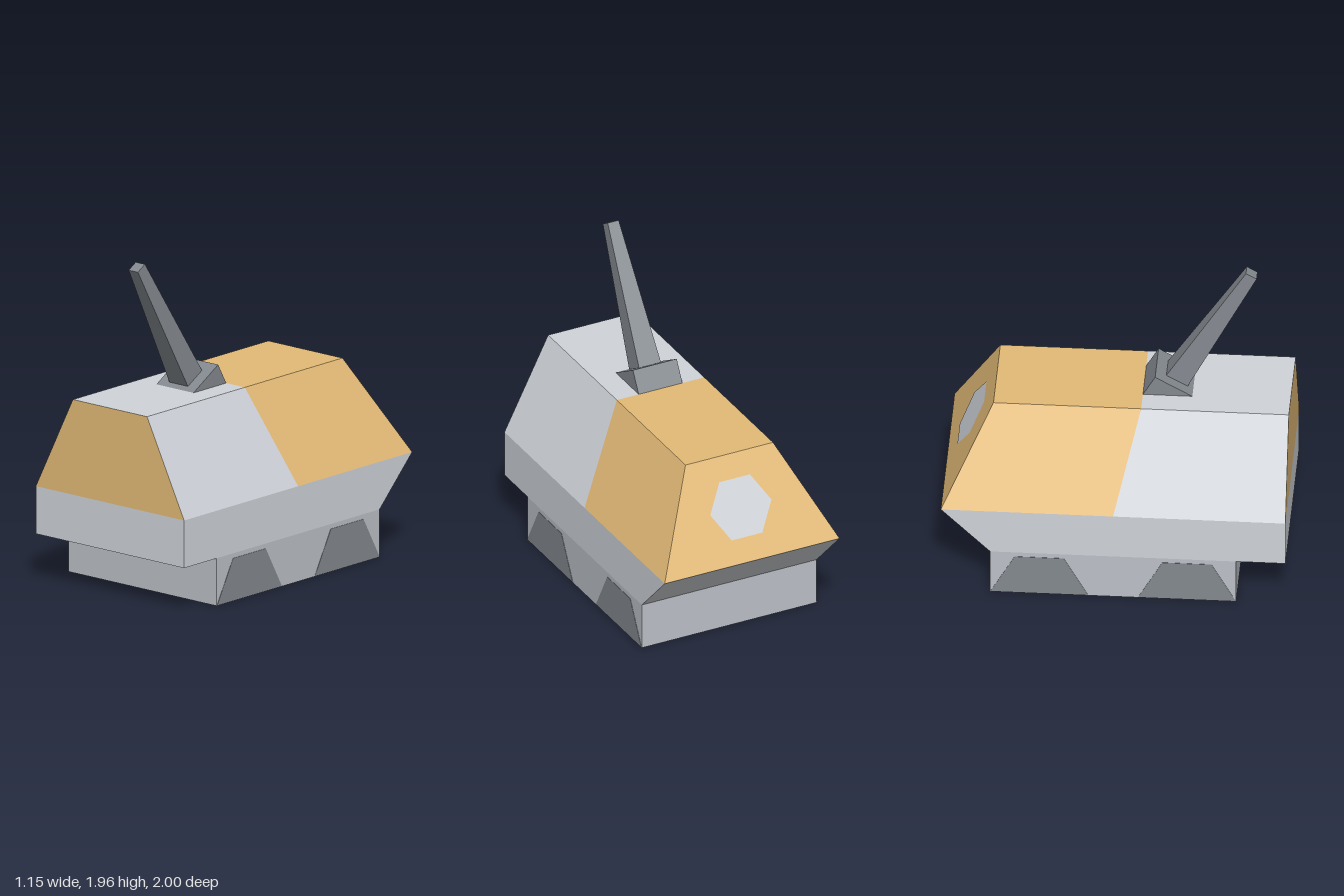
import * as THREE from 'three';

const COLORS = { light: 0xd0d4da, orange: 0xe4bb76, base: 0xbcc1c8, dark: 0x84898f };
const U = 1 / 7; // design module

function material(color) {
  return new THREE.MeshStandardMaterial({ color: COLORS[color], flatShading: true });
}

// Closed skin between two rings; corners run counter-clockwise seen from outside the first ring.
function loft(a, b, capA = true, capB = true) {
  const n = a.length, pos = [];
  const tri = (...pts) => pts.forEach(p => pos.push(...p));
  for (let i = 0; i < n; i++) {
    const j = (i + 1) % n;
    tri(a[i], b[i], b[j]);
    tri(a[i], b[j], a[j]);
  }
  for (let i = 1; i < n - 1; i++) {
    if (capA) tri(a[0], a[i], a[i + 1]);
    if (capB) tri(b[0], b[i + 1], b[i]);
  }
  const g = new THREE.BufferGeometry();
  g.setAttribute('position', new THREE.Float32BufferAttribute(pos, 3));
  g.computeVertexNormals();
  return g;
}

// Four-cornered cross-section: bottom and top each given as [half width, y, z]
function section([wb, yb, zb], [wt, yt, zt]) {
  return [[-wb, yb, zb], [wb, yb, zb], [wt, yt, zt], [-wt, yt, zt]];
}

// Profile of [z, y] points placed at a given x
const profileAt = (profile, x) => profile.map(([z, y]) => [x, y, z]);

export function createModel() {
  const model = new THREE.Group();
  model.name = 'armouredVehicle';
  const add = (name, geometry, color) => {
    const mesh = new THREE.Mesh(geometry, material(color));
    mesh.name = name;
    model.add(mesh);
    return mesh;
  };

  // Undercarriage
  add('undercarriage', new THREE.BoxGeometry(8 * U, 2 * U, 10 * U), 'base').position.y = U;

  // Dark trapezoid running gear, showing on both flanks
  for (const [name, zc] of [['frontRunningGear', 3 * U], ['rearRunningGear', -3 * U]]) {
    const profile = [[zc + 0.284, 0.002], [zc - 0.284, 0.002], [zc - U, 0.257], [zc + U, 0.257]];
    const x = 4 * U + 0.002;
    add(name, loft(profileAt(profile, x), profileAt(profile, -x)), 'dark');
  }

  // Lower hull with undercut rear
  const wide = 4 * U, narrow = 2 * U;
  add('lowerHull', loft(
    section([wide, 2 * U, 1], [wide, 4 * U, 1]),
    section([wide, 2 * U, -5 * U], [wide, 4 * U, -1])), 'light');

  // Upper hull: grey front half, orange rear half, orange nose plate
  const upper = (zb, zt) => section([wide, 4 * U, zb], [narrow, 8 * U, zt]);
  const nose = upper(1, 1), split = upper(0, U), tail = upper(-1, -5 * U);
  add('upperHullFront', loft(nose, split, false, false), 'light');
  add('upperHullRear', loft(split, tail, false, true), 'orange');
  const shape = new THREE.Shape(nose.map(([x, y]) => new THREE.Vector2(x, y)));
  add('nosePlate', new THREE.ShapeGeometry(shape), 'orange').position.z = 1;

  // Hexagonal hatch lying on the sloped rear
  const hatch = add('rearHatch', new THREE.CircleGeometry(0.2, 6), 'light');
  const out = new THREE.Vector3(0, 1, -2).normalize();
  hatch.position.set(0, 6 * U, -6 * U).addScaledVector(out, 0.002);
  hatch.rotation.order = 'YXZ';
  hatch.rotation.set(-Math.atan(0.5), Math.PI, 0);

  // Wedge gun mount
  const wedge = [[0.43, 8 * U], [U, 8 * U], [0.214, 1.268]];
  add('gunMount', loft(profileAt(wedge, U), profileAt(wedge, -U)), 'dark');

  // Tapered square barrel, square to the wedge face
  const length = 6 * U, tilt = Math.PI / 6;
  const barrelGeometry = new THREE.CylinderGeometry(
    U / 4 * Math.SQRT2, U / 2 * Math.SQRT2, length, 4);
  barrelGeometry.rotateY(Math.PI / 4);
  barrelGeometry.translate(0, length / 2, 0);
  const barrel = add('gunBarrel', barrelGeometry, 'dark');
  barrel.position.set(0, 1.198, 0.336);
  barrel.rotation.x = tilt;

  return model;
}
